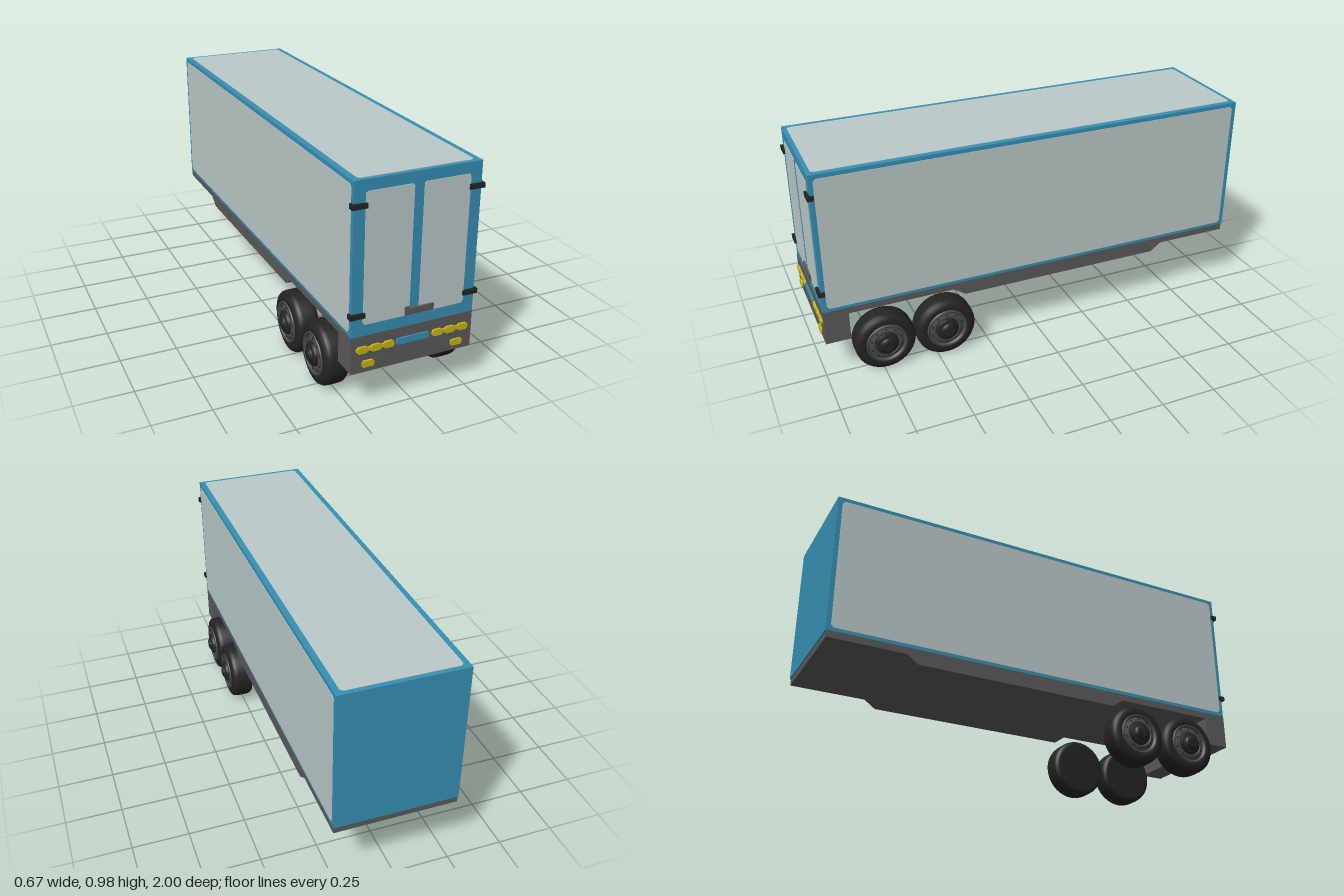
import * as THREE from 'three';

const mat = (name, color) => new THREE.MeshStandardMaterial({ name, color });

export function createModel() {
  const model = new THREE.Group();
  model.name = 'boxTrailer';
  const blue = mat('blue paint', 0x3690b4);
  const panel = mat('pale panel', 0xbccac9);
  const grey = mat('chassis grey', 0x5a5a5a);
  const black = mat('black rubber', 0x242424);
  const rimGrey = mat('rim grey', 0x4a4a4a);
  const yellow = mat('lamp yellow', 0xc9b512);

  const add = (name, geo, material, parent = model) => {
    const m = new THREE.Mesh(geo, material);
    m.name = name;
    parent.add(m);
    return m;
  };
  // Box given by its minimum and maximum corners
  const box = (name, a, b, material) => {
    const m = add(name, new THREE.BoxGeometry(b[0] - a[0], b[1] - a[1], b[2] - a[2]), material);
    m.position.set((a[0] + b[0]) / 2, (a[1] + b[1]) / 2, (a[2] + b[2]) / 2);
    return m;
  };
  // Thin plate with cut corners, facing +z, centred on its own origin
  const plate = (name, w, h, c, depth, material) => {
    const x = w / 2, y = h / 2;
    const pts = [[-x + c, -y], [x - c, -y], [x, -y + c], [x, y - c],
      [x - c, y], [-x + c, y], [-x, y - c], [-x, -y + c]];
    const shape = new THREE.Shape(pts.map(p => new THREE.Vector2(...p)));
    return add(name, new THREE.ExtrudeGeometry(shape, { depth, bevelEnabled: false }), material);
  };

  // Cargo box
  box('cargoBox', [-0.27, 0.335, -1], [0.27, 0.973, 0.988], blue);

  // Side, roof and door panels
  for (const s of [-1, 1]) {
    const side = plate('sidePanel', 1.95, 0.605, 0.012, 0.002, panel);
    side.rotation.y = s * Math.PI / 2;
    side.position.set(s * 0.27, 0.6525, -0.005);
    plate('doorPanel', 0.2, 0.544, 0.008, 0.003, panel).position.set(s * 0.121, 0.655, 0.988);
  }
  const roof = plate('roofPanel', 0.49, 1.95, 0.012, 0.002, panel);
  roof.rotation.x = -Math.PI / 2;
  roof.position.set(0, 0.973, -0.005);

  // Door hinges wrapping the corners, and the latch
  for (const s of [-1, 1]) for (const y of [0.427, 0.875]) {
    const hinge = box('doorHinge', [-0.032, -0.01, 0.973], [0.032, 0.01, 1], black);
    hinge.position.x = s * 0.248;
    hinge.position.y = y;
  }
  box('latchBar', [-0.04, 0.388, 0.985], [0.083, 0.415, 0.999], grey);
  box('latchHandle', [-0.042, 0.386, 0.985], [-0.024, 0.422, 0.997], grey);

  // Chassis profile (z, y) with the deep bumper block, swept across the width
  const profile = [[0.99, 0.335], [-0.995, 0.335], [-0.995, 0.305], [-0.6 - 0.052, 0.305],
    [-0.6, 0.268], [0.352, 0.268], [0.405, 0.305], [0.88, 0.305], [0.88, 0.175], [0.99, 0.175]];
  const chassis = add('chassis', new THREE.ExtrudeGeometry(
    new THREE.Shape(profile.map(p => new THREE.Vector2(...p))),
    { depth: 0.538, bevelEnabled: false }), grey);
  chassis.rotation.y = -Math.PI / 2;
  chassis.position.x = 0.269;

  // Lamps and plate on the bumper
  plate('numberPlate', 0.146, 0.028, 0.006, 0.007, blue).position.set(-0.002, 0.277, 0.99);
  for (const s of [-1, 1]) {
    for (const x of [0.109, 0.165, 0.223])
      plate('upperLamp', 0.046, 0.029, 0.007, 0.009, yellow).position.set(s * x, 0.277, 0.99);
    plate('lampStrip', 0.165, 0.016, 0.003, 0.007, yellow).position.set(s * 0.167, 0.277, 0.99);
    plate('lowerLamp', 0.054, 0.028, 0.007, 0.009, yellow).position.set(s * 0.198, 0.213, 0.99);
    plate('lampHousing', 0.09, 0.028, 0.001, 0.003, grey).position.set(s * 0.181, 0.213, 0.99);
  }

  // Wheels: lathes around the axle, (radius, distance outward)
  const lathe = pts => new THREE.LatheGeometry(pts.map(p => new THREE.Vector2(...p)), 36);
  const tyreGeo = lathe([[0, 0], [0.115, 0], [0.128, 0.005], [0.135, 0.015], [0.137, 0.03],
    [0.137, 0.073], [0.135, 0.088], [0.128, 0.098], [0.112, 0.104], [0.096, 0.106], [0.092, 0.1], [0.092, 0.09]]);
  const rimGeo = lathe([[0.093, 0.092], [0.092, 0.109], [0.084, 0.11], [0.08, 0.1], [0.078, 0.1],
    [0.062, 0.107], [0.056, 0.108], [0.054, 0.1], [0, 0.1]]);
  const hubGeo = lathe([[0.052, 0.1], [0.051, 0.114], [0.046, 0.118], [0.034, 0.119],
    [0.03, 0.124], [0.027, 0.128], [0.022, 0.128]]);
  const capGeo = new THREE.CylinderGeometry(0.02, 0.023, 0.012, 24);
  for (const s of [-1, 1]) for (const z of [0.735, 0.457]) {
    const wheel = new THREE.Group();
    wheel.name = 'wheel';
    add('tyre', tyreGeo, black, wheel);
    add('rim', rimGeo, rimGrey, wheel);
    add('hub', hubGeo, black, wheel);
    add('hubCap', capGeo, black, wheel).position.y = 0.124;
    for (let i = 0; i < 10; i++) {
      const a = i * Math.PI / 5;
      add('wheelBolt', new THREE.CylinderGeometry(0.004, 0.004, 0.006, 6), black, wheel)
        .position.set(0.07 * Math.cos(a), 0.104, 0.07 * Math.sin(a));
    }
    wheel.rotation.z = -s * Math.PI / 2;
    wheel.position.set(s * 0.207, 0.137, z);
    model.add(wheel);
  }
  return model;
}
